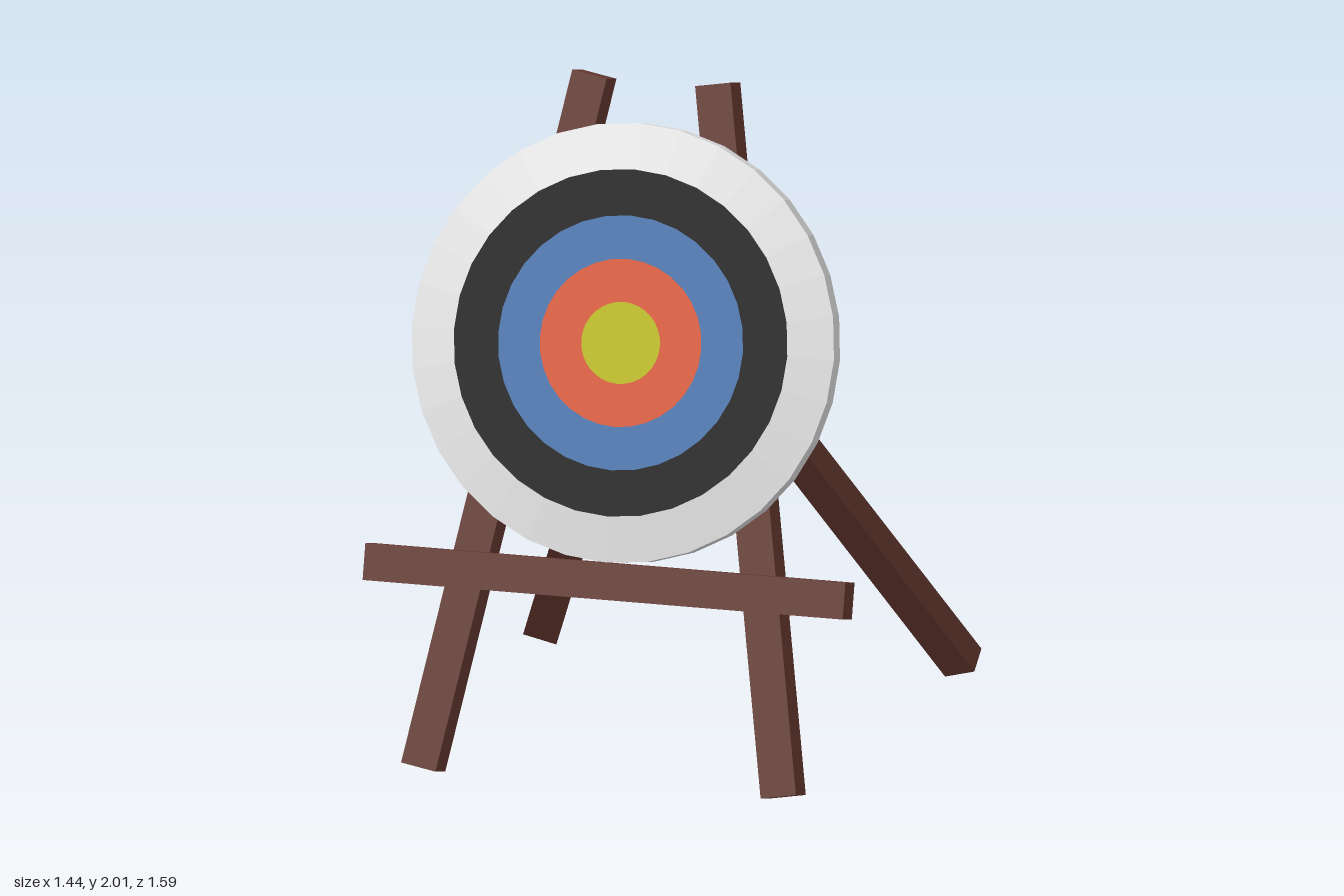
import * as THREE from 'three';

const flat = (name, color) => {
  const m = new THREE.MeshStandardMaterial({ color });
  m.name = name;
  return m;
};

export function createModel() {
  const wood = flat('brown wood', 0x683a31);
  const white = flat('white', 0xe7e7e7);
  const black = flat('black', 0x0f0f0f);
  const blue = flat('blue', 0x4d79b4);
  const red = flat('orange red', 0xe35d39);
  const yellow = flat('yellow', 0xc4c210);

  const model = new THREE.Group();
  model.name = 'archeryTarget';

  const add = (parent, name, geometry, material) => {
    const mesh = new THREE.Mesh(geometry, material);
    mesh.name = name;
    parent.add(mesh);
    return mesh;
  };

  // Square beam between two points, leaned about x after being splayed about z
  const beam = (parent, name, a, b, width, depth) => {
    const from = new THREE.Vector3(...a), to = new THREE.Vector3(...b);
    const d = to.clone().sub(from);
    const length = d.length();
    d.divideScalar(length);
    const mesh = add(parent, name, new THREE.BoxGeometry(width, length, depth), wood);
    mesh.position.copy(from).add(to).multiplyScalar(0.5);
    mesh.rotation.set(Math.atan2(d.z, d.y), 0, -Math.asin(d.x));
  };

  // Front frame and target share one backward lean of 15 degrees
  const frame = new THREE.Group();
  frame.name = 'leaningFrame';
  frame.rotation.x = -Math.PI / 12;
  model.add(frame);

  for (const [side, s] of [['left', 1], ['right', -1]]) {
    beam(frame, side + 'FrontLeg', [s * 0.54, -0.162, 0.723], [s * 0.185, 1.862, 0.723], 0.106, 0.102);
    beam(model, side + 'RearLeg', [s * 0.63, 0.034, -0.748], [s * 0.023, 1.39, 0.203], 0.1, 0.086);
  }

  // Ledge under the target, and the rear bar that carries the rear legs
  add(frame, 'targetLedge', new THREE.BoxGeometry(1.44, 0.106, 0.095), wood).position.set(0, 0.416, 0.8225);
  add(frame, 'rearCrossbar', new THREE.BoxGeometry(0.87, 0.105, 0.094), wood).position.set(0, 1.321, 0.61);

  // Round target with bevelled rim
  const target = new THREE.Group();
  target.name = 'target';
  target.position.set(0, 1.103, 0.828);
  frame.add(target);

  const profile = [[0.5, -0.056], [0.633, -0.031], [0.633, 0.031], [0.5, 0.055]];
  let rim = new THREE.LatheGeometry(profile.map(([r, y]) => new THREE.Vector2(r, y)), 32);
  rim = rim.toNonIndexed();
  rim.computeVertexNormals();
  rim.rotateX(Math.PI / 2);
  add(target, 'targetRim', rim, white);

  const back = add(target, 'targetBack', new THREE.CircleGeometry(0.5, 32), white);
  back.position.z = -0.056;
  back.rotation.y = Math.PI;

  // Scoring rings from the centre outwards
  const rings = [['bullseye', 0, 0.118, yellow], ['innerRing', 0.118, 0.242, red],
    ['middleRing', 0.242, 0.367, blue], ['outerRing', 0.367, 0.5, black]];
  for (const [name, inner, outer, material] of rings) {
    const geometry = inner ? new THREE.RingGeometry(inner, outer, 32) : new THREE.CircleGeometry(outer, 32);
    add(target, name, geometry, material).position.z = 0.055;
  }

  return model;
}
